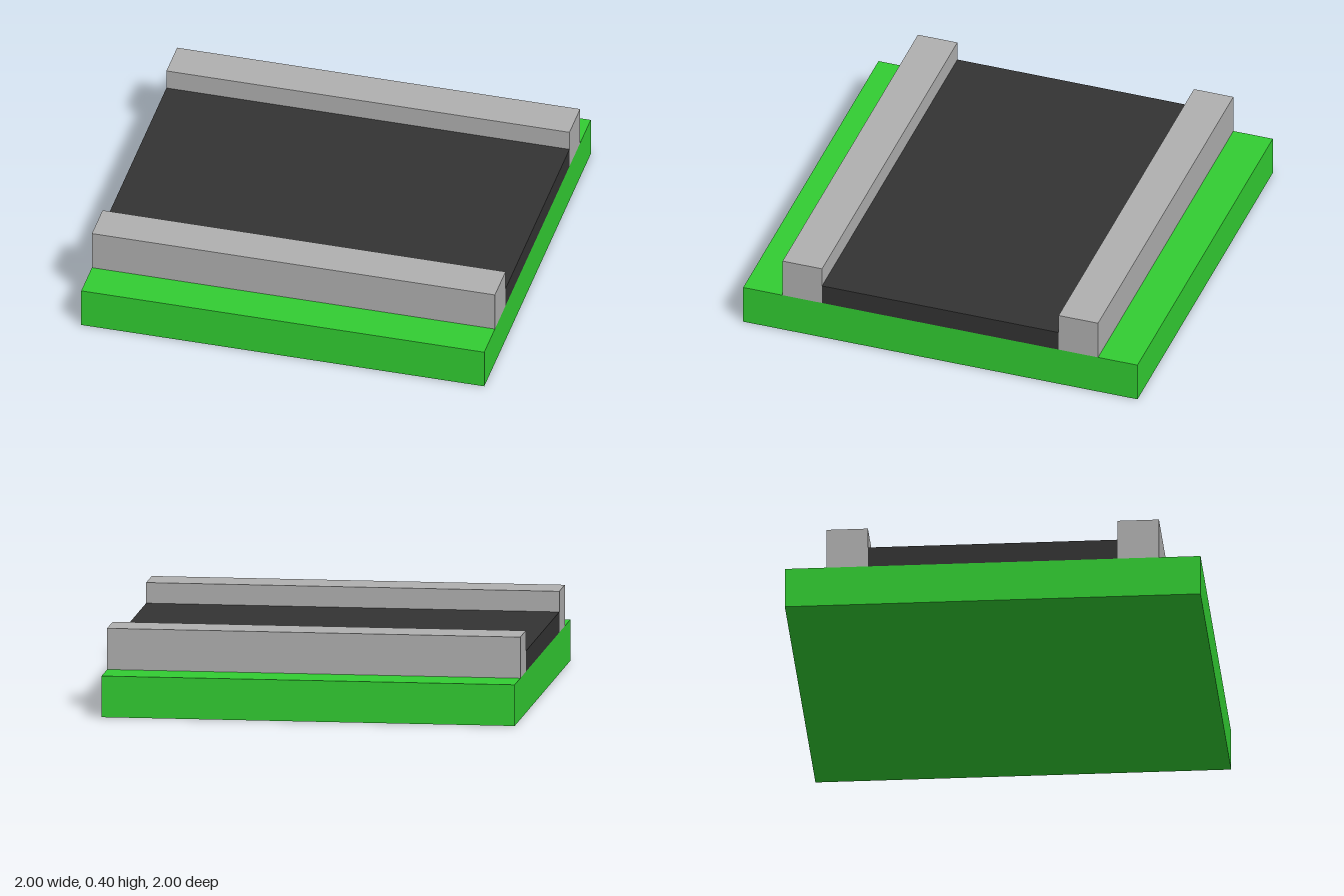
import * as THREE from 'three';

export function createModel() {
  const model = new THREE.Group();
  model.name = 'roadTile';

  const grass = new THREE.MeshStandardMaterial({ color: 0x32cd32 });
  const asphalt = new THREE.MeshStandardMaterial({ color: 0x333333 });
  const concrete = new THREE.MeshStandardMaterial({ color: 0xb0b0b0 });

  // Full-width slab whose underside rests at height y
  function addSlab(name, height, depth, y, z, material) {
    const mesh = new THREE.Mesh(new THREE.BoxGeometry(2, height, depth), material);
    mesh.name = name;
    mesh.position.set(0, y + height / 2, z);
    model.add(mesh);
  }

  // Ground and road surface
  addSlab('grassBase', 0.2, 2, 0, 0, grass);
  addSlab('roadSurface', 0.1, 1.2, 0.2, 0, asphalt);

  // Raised kerb along each side of the road
  for (const [name, side] of [['frontKerb', 1], ['backKerb', -1]]) {
    addSlab(name, 0.2, 0.2, 0.2, side * 0.7, concrete);
  }

  return model;
}
